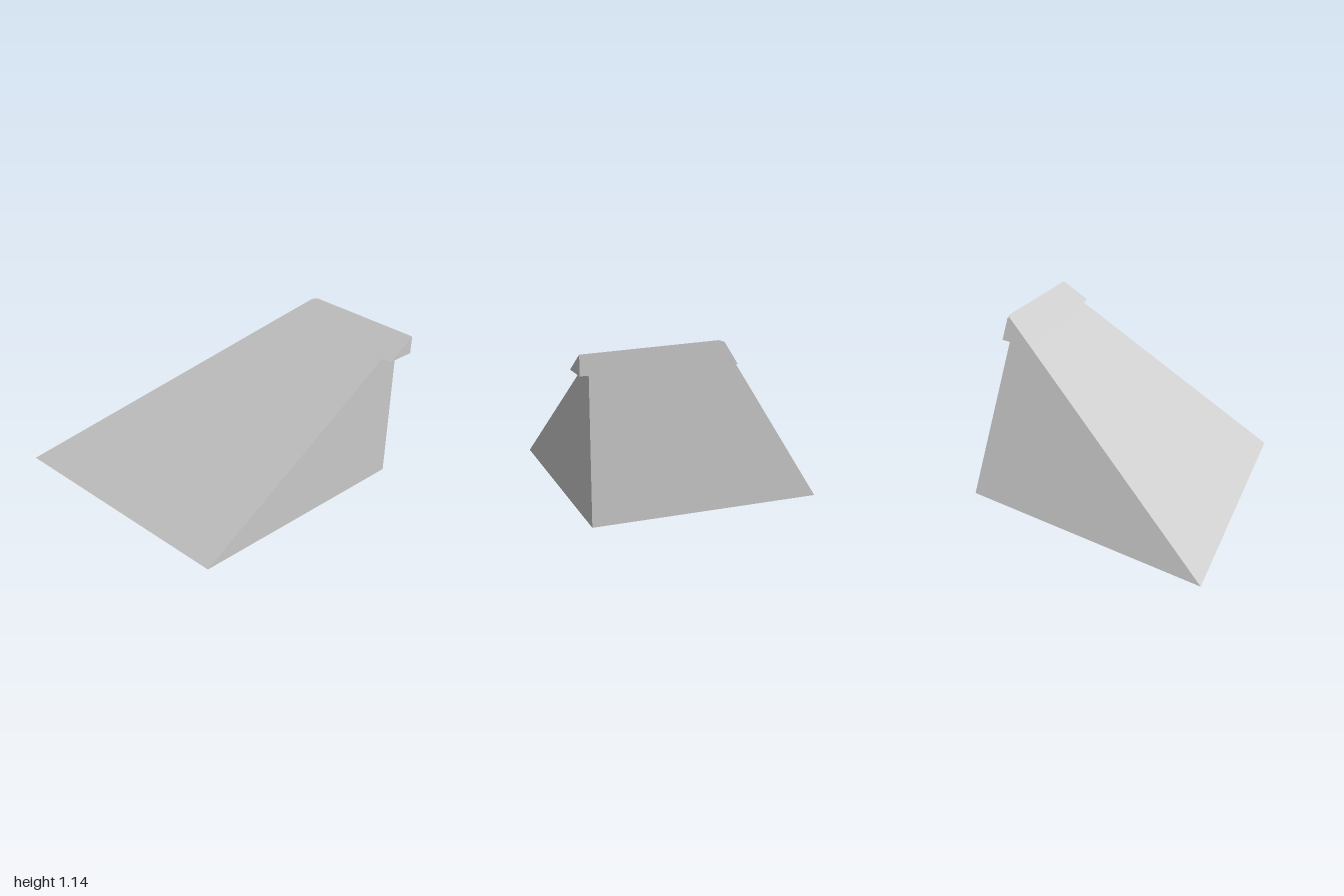
import * as THREE from 'three';

// Shared planes of the wedge: sloping front, leaning side, upright back and side
const FRONT = 0.987, BACK = -0.916, LIP_BACK = -0.987, SIDE = 0.925, LIP_SIDE = 1, LIP_Y = 0.985;
const SKEW = 0.0556, RISE = 0.5986;
const slopeZ = (x, y) => FRONT - SKEW * (x + 1) - y / RISE;
const slopeY = (x, z) => (FRONT - SKEW * (x + 1) - z) * RISE;
const leanX = (y, z) => -1 + 0.1734 * (FRONT - z) + 0.639 * y;

// Points on each plane or edge
const slope = (x, y) => [x, y, slopeZ(x, y)];
const lean = (y, z) => [leanX(y, z), y, z];
const ridge = (y) => slope(-1 + 0.9377 * y, y);

// Flat convex faces, each turned to face away from the inner point
function solid(name, faces, inner, material) {
  const positions = [];
  const centre = new THREE.Vector3(...inner);
  for (const face of faces) {
    const p = face.map((c) => new THREE.Vector3(...c));
    const normal = p[1].clone().sub(p[0]).cross(p[2].clone().sub(p[0]));
    if (normal.dot(p[0].clone().sub(centre)) < 0) p.reverse();
    for (let i = 1; i < p.length - 1; i++) {
      for (const v of [p[0], p[i], p[i + 1]]) positions.push(v.x, v.y, v.z);
    }
  }
  const geometry = new THREE.BufferGeometry();
  geometry.setAttribute('position', new THREE.Float32BufferAttribute(positions, 3));
  geometry.computeVertexNormals();
  const mesh = new THREE.Mesh(geometry, material);
  mesh.name = name;
  return mesh;
}

export function createModel() {
  const group = new THREE.Group();
  group.name = 'wedge';
  const grey = new THREE.MeshStandardMaterial({ color: 0xcccccc });
  grey.name = 'light grey';

  // Wedge body: a bottom ring and a ring at the height of the lip
  const ring = (y) => [ridge(y), slope(SIDE, y), [SIDE, y, BACK], lean(y, BACK)];
  const low = ring(0), high = ring(LIP_Y);
  const walls = low.map((p, i) => {
    const j = (i + 1) % 4;
    return [p, low[j], high[j], high[i]];
  });
  group.add(solid('wedgeBody', [low, ...walls], [0.3, 0.4, -0.3], grey));

  // Top lip overhanging the back and one side, with a small clipped corner
  const a = ridge(LIP_Y), b = slope(LIP_SIDE, LIP_Y);
  const c = [LIP_SIDE, LIP_Y, LIP_BACK], d = lean(LIP_Y, LIP_BACK);
  const sideTop = [LIP_SIDE, slopeY(LIP_SIDE, LIP_BACK), LIP_BACK];
  const clipTop = [0.105, slopeY(0.105, LIP_BACK), LIP_BACK];
  const clipRidge = ridge(1.131), clipLean = lean(1.131, LIP_BACK);
  group.add(solid('topLip', [
    [a, b, sideTop, clipTop, clipRidge],
    [b, c, sideTop],
    [c, d, clipLean, clipTop, sideTop],
    [a, clipRidge, clipLean, d],
    [clipRidge, clipTop, clipLean],
    // underside of the overhang
    [d, c, [LIP_SIDE, LIP_Y, BACK], lean(LIP_Y, BACK)],
    [[SIDE, LIP_Y, BACK], [LIP_SIDE, LIP_Y, BACK], b, slope(SIDE, LIP_Y)],
  ], [0.5, 1.03, -0.93], grey));

  return group;
}
